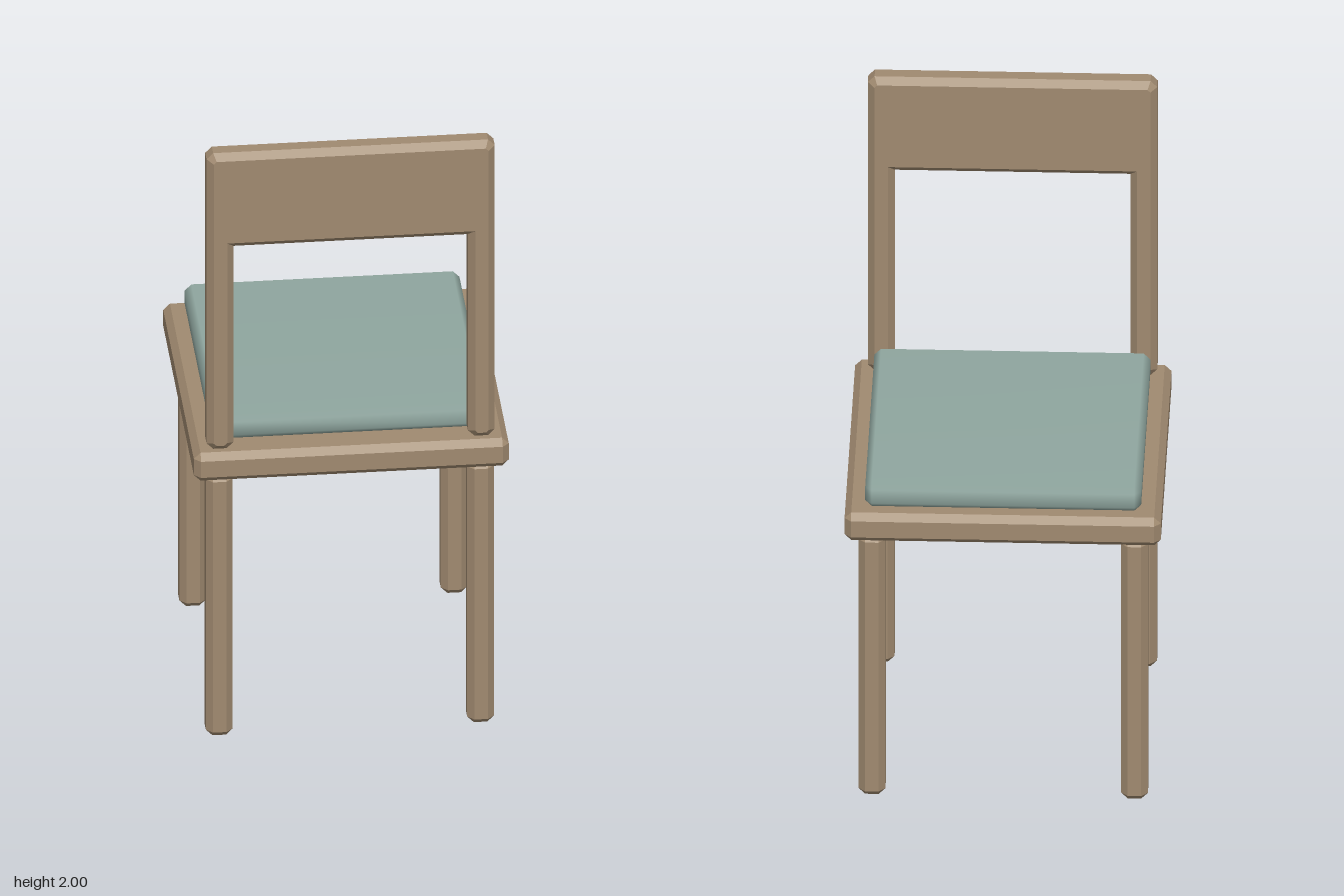
import * as THREE from 'three';
import { ConvexGeometry } from 'three/addons/geometries/ConvexGeometry.js';
import { mergeVertices } from 'three/addons/utils/BufferGeometryUtils.js';

const BEVEL = 0.02;

// Box with every edge chamfered, given by its min and max corners
function chamferBox(min, max) {
  const centre = min.map((v, i) => (v + max[i]) / 2);
  const half = min.map((v, i) => (max[i] - v) / 2);
  const points = [];
  for (const sx of [-1, 1]) for (const sy of [-1, 1]) for (const sz of [-1, 1]) {
    const sign = [sx, sy, sz];
    for (let axis = 0; axis < 3; axis++) {
      // full reach along one axis, pulled in by the bevel along the other two
      points.push(new THREE.Vector3(...sign.map((s, i) =>
        centre[i] + s * (half[i] - (i === axis ? 0 : BEVEL)))));
    }
  }
  return new ConvexGeometry(points);
}

// Upside-down U outline: two posts joined by a wide top rail
function backrestGeometry() {
  const outer = 0.43, inner = 0.35, bottom = 0.99, top = 2, railBottom = 1.68, c = BEVEL;
  const side = [
    [inner, railBottom], [inner, bottom + c], [inner + c, bottom], [outer - c, bottom],
    [outer, bottom + c], [outer, top - c], [outer - c, top],
  ];
  const mirrored = side.map(([x, y]) => [-x, y]).reverse();
  const shape = new THREE.Shape([...side, ...mirrored].map(([x, y]) => new THREE.Vector2(x, y)));
  const geometry = new THREE.ExtrudeGeometry(shape, {
    depth: 0.08 - 2 * c, bevelEnabled: true, bevelSegments: 1,
    bevelThickness: c, bevelSize: c, bevelOffset: -c,
  });
  return geometry.translate(0, 0, 0.37 + c);
}

export function createModel() {
  const group = new THREE.Group();
  const wood = new THREE.MeshStandardMaterial({ color: 0xa08a70 });
  const fabric = new THREE.MeshStandardMaterial({ color: 0x8fa69f });
  const add = (name, geometry, material) => {
    const mesh = new THREE.Mesh(geometry, material);
    mesh.name = name;
    group.add(mesh);
  };

  // Seat board
  add('seat', chamferBox([-0.47, 0.895, -0.47], [0.47, 0.99, 0.47]), wood);

  // Cushion with softly blended edges, tucked between the back posts
  const cushion = chamferBox([-0.41, 0.99, -0.43], [0.41, 1.075, 0.39]);
  cushion.deleteAttribute('normal');
  const softCushion = mergeVertices(cushion);
  softCushion.computeVertexNormals();
  add('cushion', softCushion, fabric);

  // Four square legs
  for (const x of [-0.39, 0.39]) for (const z of [-0.39, 0.39]) {
    add(`${z > 0 ? 'backrestSide' : 'openSide'}${x > 0 ? 'Left' : 'Right'}Leg`,
      chamferBox([x - 0.04, 0, z - 0.04], [x + 0.04, 0.895, z + 0.04]), wood);
  }

  // Posts and top rail in one piece
  add('backrest', backrestGeometry(), wood);

  return group;
}
